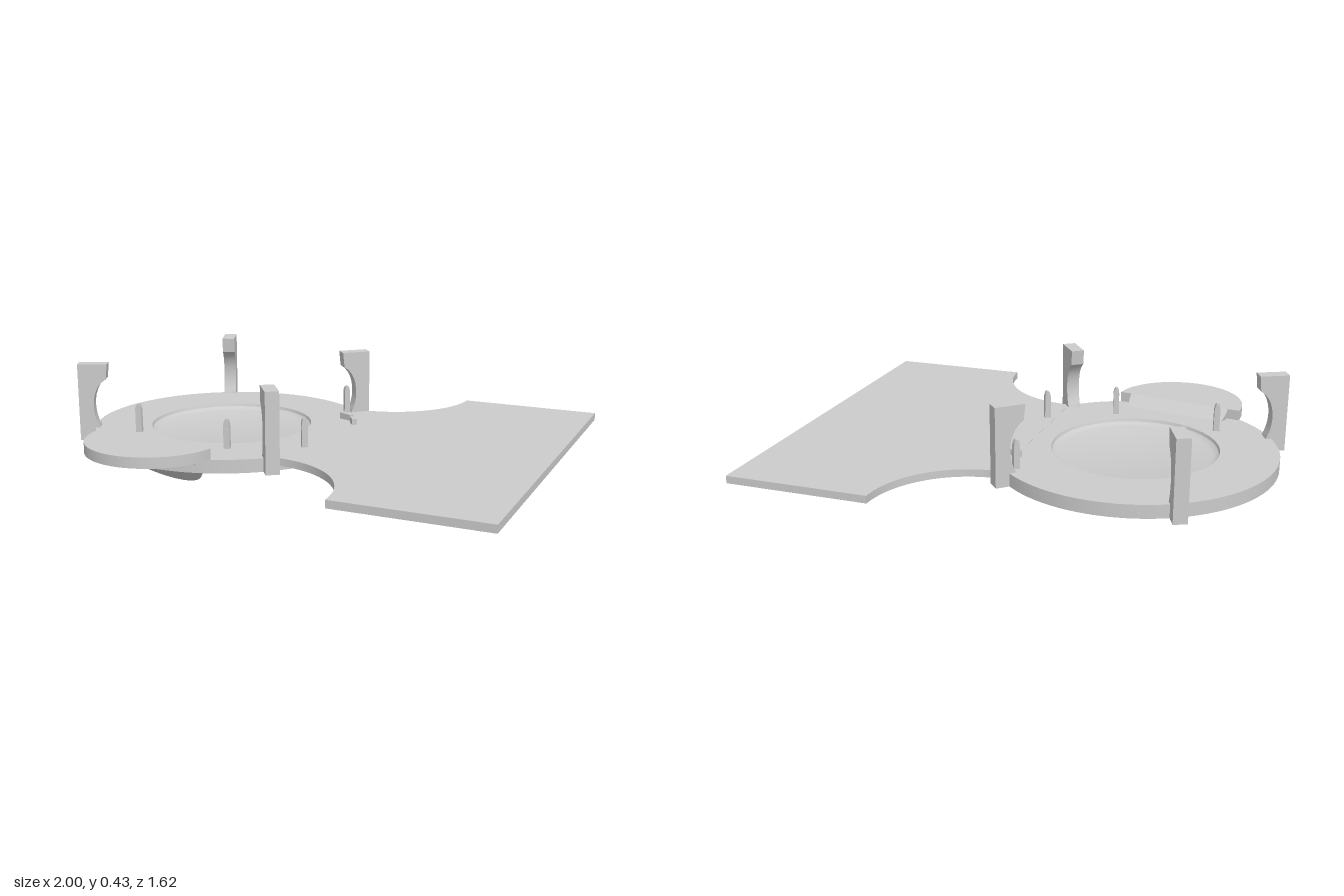
import * as THREE from 'three';
import { toCreasedNormals } from 'three/addons/utils/BufferGeometryUtils.js';

const material = new THREE.MeshStandardMaterial({ color: 0xcccccc });

function part(name, geometry, x = 0, y = 0, z = 0) {
  const mesh = new THREE.Mesh(toCreasedNormals(geometry, 0.5), material);
  mesh.name = name;
  mesh.position.set(x, y, z);
  return mesh;
}

// Extrude a plan outline upward (shape y becomes -z)
function slab(shape, depth) {
  return new THREE.ExtrudeGeometry(shape, { depth, bevelEnabled: false, curveSegments: 40 }).rotateX(-Math.PI / 2);
}

// Extrude a side profile, centred on its width
function sideProfile(shape, width) {
  return new THREE.ExtrudeGeometry(shape, { depth: width, bevelEnabled: false, curveSegments: 10 }).translate(0, 0, -width / 2);
}

function halfDisc(radius, depth, start) {
  const s = new THREE.Shape();
  s.absarc(0, 0, radius, start, start + Math.PI, false);
  s.closePath();
  return slab(s, depth);
}

export function createModel() {
  const model = new THREE.Group();

  // Round base with a shallow dished recess
  const section = [[0, 0.105], [0.585, 0.105], [0.585, 0.16], [0.345, 0.16], [0.341, 0.148],
    [0.33, 0.14], [0.315, 0.136], [0, 0.135]].map(([r, y]) => new THREE.Vector2(r, y));
  model.add(part('roundBase', new THREE.LatheGeometry(section, 96), -0.415, 0, 0));

  // Flat side plate with two concave corners
  const plate = new THREE.Shape();
  plate.moveTo(0.39, -0.81);
  plate.lineTo(1, -0.81);
  plate.lineTo(1, 0.81);
  plate.lineTo(0.4, 0.81);
  plate.absarc(0.02, 0.81, 0.38, 0, -Math.PI / 2, true);
  plate.lineTo(0, -0.42);
  plate.absarc(0, -0.81, 0.39, Math.PI / 2, 0, true);
  model.add(part('sidePlate', slab(plate, 0.031), 0, 0.13, 0));

  // Folded disc: one half lies flat, the other dips through the base
  const folded = new THREE.Group();
  folded.name = 'foldedDisc';
  folded.position.set(-0.488, 0.205, 0.5);
  folded.rotation.y = -0.161;
  folded.add(part('flatHalf', halfDisc(0.281, 0.044, Math.PI), 0, -0.044, 0));
  const dipped = part('dippedHalf', halfDisc(0.23, 0.07, 0).translate(0, -0.07, 0));
  dipped.rotation.x = -0.72;
  folded.add(dipped);
  model.add(folded);

  // Four clips around the rim: straight outside, hollowed inside
  const clip = new THREE.Shape();
  clip.moveTo(0, 0.105);
  clip.lineTo(0.085, 0.105);
  clip.lineTo(0.085, 0.16);
  clip.bezierCurveTo(0.05, 0.22, 0.05, 0.33, 0.118, 0.37);
  clip.lineTo(0.125, 0.435);
  clip.lineTo(0, 0.435);
  const clipGeometry = sideProfile(clip, 0.056);
  // x, z of the outer face, then the inward direction
  for (const [x, z, dx, dz] of [
    [-0.725, -0.565, 0.045, 0.105], [0.037, -0.452, -0.09, 0.08],
    [-0.975, 0.325, 0.105, -0.05], [0.018, 0.468, -0.065, -0.09],
  ]) {
    const mesh = part('rimClip', clipGeometry, x, 0, z);
    mesh.rotation.y = Math.atan2(-dz, dx);
    model.add(mesh);
  }

  // Small upright pins with rounded tips
  const pin = new THREE.Shape();
  pin.moveTo(-0.013, 0.13);
  pin.lineTo(0.013, 0.13);
  pin.lineTo(0.012, 0.25);
  pin.quadraticCurveTo(0.01, 0.275, 0.003, 0.282);
  pin.lineTo(-0.006, 0.28);
  pin.quadraticCurveTo(-0.013, 0.27, -0.013, 0.25);
  const pinGeometry = sideProfile(pin, 0.022);
  for (const [x, z, turn] of [[-0.695, 0.3, 0.3], [-0.232, 0.375, 0.3], [0.042, 0.23, 0.6], [-0.03, -0.375, 0.7]]) {
    const mesh = part('pin', pinGeometry, x, 0, z);
    mesh.rotation.y = turn;
    model.add(mesh);
  }

  // Two low nubs on the base
  for (const [x, z, length, turn] of [[0.023, -0.25, 0.065, -0.45], [0.08, -0.19, 0.045, -0.95]]) {
    const mesh = part('nub', new THREE.BoxGeometry(length, 0.035, 0.022), x, 0.17, z);
    mesh.rotation.y = turn;
    model.add(mesh);
  }

  return model;
}
